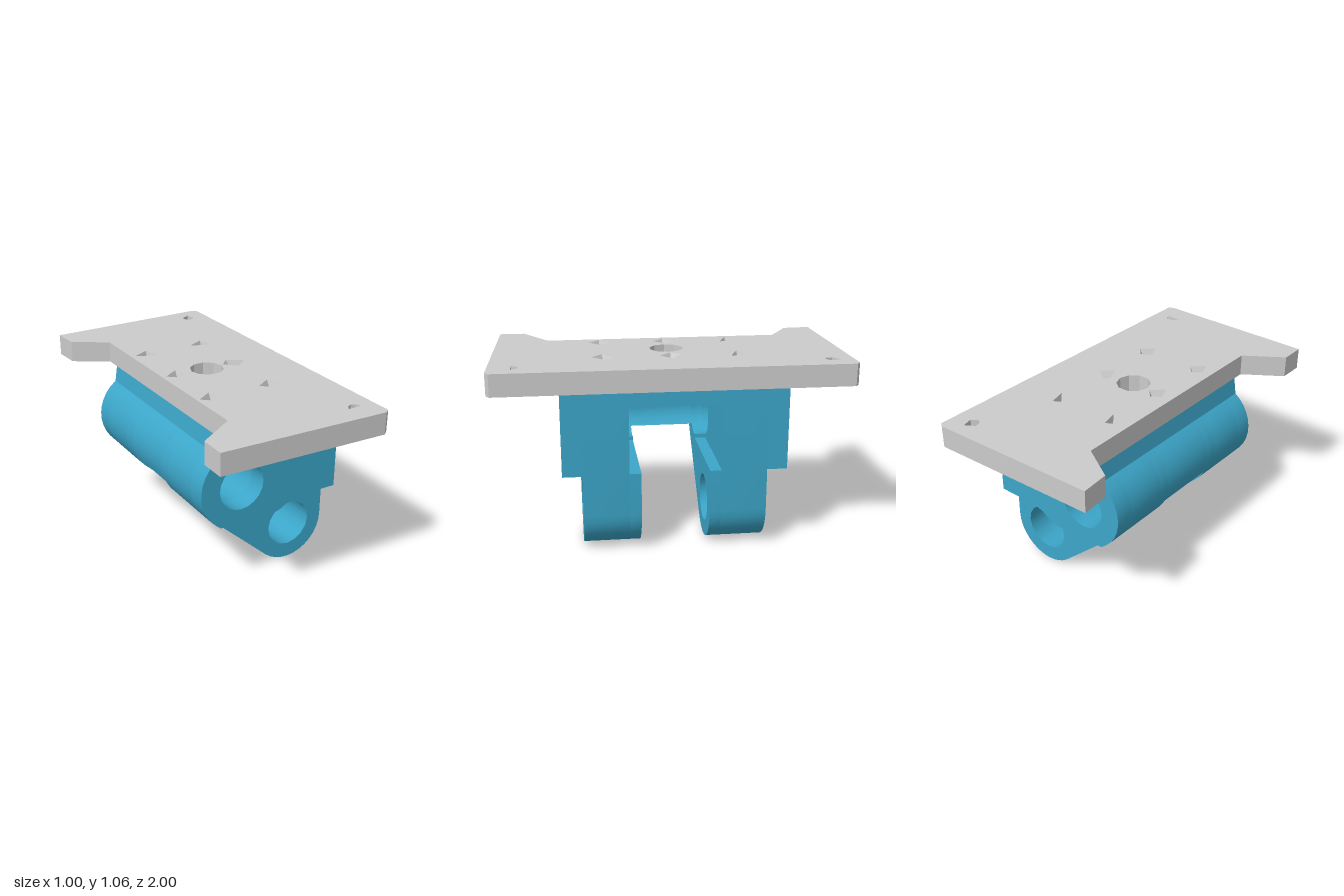
import * as THREE from 'three';
import { toCreasedNormals } from 'three/addons/utils/BufferGeometryUtils.js';

const blue = new THREE.MeshStandardMaterial({ color: 0x3ca6c9 });
const grey = new THREE.MeshStandardMaterial({ color: 0xcccccc });
const greyPit = new THREE.MeshStandardMaterial({ color: 0xcccccc, side: THREE.DoubleSide, flatShading: true });

const PIN = [-0.15, 0.625], LUG = [0.245, 0.228]; // bore centres (x, y)
const BORE = 0.137, TOP = 0.935, PLATE_TOP = 1.06;
const POCKET_X = -0.11, POCKET_TOP = 0.85, POCKET_Z = 0.255;

// Points on an arc, angles in degrees
function arc([cx, cy], r, a0, a1, n) {
  return Array.from({ length: n + 1 }, (_, i) => {
    const a = THREE.MathUtils.degToRad(a0 + (a1 - a0) * i / n);
    return [cx + r * Math.cos(a), cy + r * Math.sin(a)];
  });
}

function makeShape(points, holes = []) {
  const toVec = (list) => list.map(([x, y]) => new THREE.Vector2(x, y));
  const shape = new THREE.Shape(toVec(points));
  holes.forEach((h) => shape.holes.push(new THREE.Path(toVec(h))));
  return shape;
}

// Side profile extruded between two z values
function slice(name, shape, z0, z1) {
  const geo = new THREE.ExtrudeGeometry(shape, { depth: z1 - z0, bevelEnabled: false });
  geo.translate(0, 0, z0);
  const mesh = new THREE.Mesh(toCreasedNormals(geo, 0.6), blue);
  mesh.name = name;
  return mesh;
}

// Plan outline (x, z) extruded downward from yTop
function slab(name, shape, yTop, depth, material) {
  const geo = new THREE.ExtrudeGeometry(shape, { depth, bevelEnabled: false });
  geo.rotateX(Math.PI / 2).translate(0, yTop, 0);
  const mesh = new THREE.Mesh(toCreasedNormals(geo, 0.4), material);
  mesh.name = name;
  return mesh;
}

// Faceted recess: a fan from the rim down to an apex
function pit(rim, [ax, az]) {
  const pos = [];
  rim.forEach(([x, z], i) => {
    const [nx, nz] = rim[(i + 1) % rim.length];
    pos.push(x, PLATE_TOP, z, ax, PLATE_TOP - 0.09, az, nx, PLATE_TOP, nz);
  });
  const geo = new THREE.BufferGeometry();
  geo.setAttribute('position', new THREE.Float32BufferAttribute(pos, 3));
  geo.computeVertexNormals();
  const mesh = new THREE.Mesh(geo, greyPit);
  mesh.name = 'screwRecess';
  return mesh;
}

export function createModel() {
  const model = new THREE.Group();
  const body = new THREE.Group();
  body.name = 'hingeBody';
  const plate = new THREE.Group();
  plate.name = 'mountingPlate';
  model.add(body, plate);

  const pinBore = arc(PIN, BORE, 0, 342, 19);
  const lugBore = arc(LUG, BORE, 0, 337.5, 15);
  const neck = [[-0.275, TOP]];
  const barrel = arc(PIN, 0.25, 124.3, 228.3, 10);
  const lugEnd = arc(LUG, 0.225, 228.3, 360, 12);

  // Outer cheeks: upper part only, with the wavy lower edge
  const cheek = makeShape([
    ...neck, ...barrel, [-0.28, 0.407], [0.03, 0.397], [0.07, 0.405], [0.11, 0.417],
    [0.155, 0.447], [0.2, 0.46], [0.26, 0.466], [0.47, 0.466], [0.47, TOP],
  ], [pinBore]);
  // Full profile with both bores
  const full = makeShape([...neck, ...barrel, ...lugEnd, [0.47, TOP]], [pinBore, lugBore]);
  // Lug strip beside the pocket, which opens into the pin bore
  const beside = makeShape([
    ...neck, ...barrel, ...lugEnd, [0.47, 0.47], [POCKET_X, 0.47],
    ...arc(PIN, BORE, 287, 73, 12), [POCKET_X, TOP],
  ], [lugBore]);
  // Centre wall behind the pocket, cut off below by the gap between the lugs
  const centre = makeShape([
    ...neck, ...arc(PIN, 0.25, 124.3, 204.8, 8), ...arc(PIN, BORE, 230, 73, 9), [POCKET_X, TOP],
  ]);

  for (const s of [1, -1]) {
    const add = (name, shape, a, b) =>
      body.add(slice(name, shape, Math.min(s * a, s * b), Math.max(s * a, s * b)));
    add('outerCheek', cheek, 0.51, 0.622);
    add('lug', full, POCKET_Z, 0.51);
    add('lugInnerStrip', beside, 0.19, POCKET_Z);
  }
  body.add(slice('pocketBackWall', centre, -0.19, 0.19));

  // Roof over the pocket with the vertical centre bore
  const centreBore = arc([0, 0], 0.098, 0, 324, 9);
  body.add(slab('pocketRoof', makeShape([
    [POCKET_X, -POCKET_Z], [0.47, -POCKET_Z], [0.47, POCKET_Z], [POCKET_X, POCKET_Z],
  ], [centreBore]), TOP, TOP - POCKET_TOP, blue));

  // Recess rims around their own centres
  const kite = [[-0.07, 0.0], [0.02, -0.06], [0.07, -0.005], [0.0, 0.06]];
  const wedge = [[-0.065, 0.0], [0.03, -0.05], [0.055, 0.05], [-0.04, 0.015]];
  const recesses = [
    [wedge, -0.195, -0.39], [wedge, 0.18, -0.39],
    [kite, -0.19, -0.005], [kite.map(([x, z]) => [-x, z]), 0.185, -0.005],
    [kite, -0.195, 0.375], [kite, 0.18, 0.375],
  ].map(([rim, cx, cz]) => ({ rim: rim.map(([x, z]) => [x + cx, z + cz]), apex: [cx + 0.02, cz - 0.005] }));

  // Plate with a notch on the right, corner holes and recess openings
  const outline = [
    [-0.5, -0.975], [0.47, -1], [0.497, -0.98], [0.497, 0.98], [0.47, 1], [-0.5, 0.972],
    [-0.5, 0.825], [-0.28, 0.68], [-0.288, -0.692], [-0.488, -0.815],
  ];
  const cornerHoles = [
    [[0.335, -0.885], [0.39, -0.92], [0.405, -0.86], [0.37, -0.835], [0.345, -0.85]],
    [[0.33, 0.87], [0.35, 0.84], [0.375, 0.83], [0.4, 0.84], [0.415, 0.87]],
  ];
  plate.add(slab('plate', makeShape(outline,
    [centreBore, ...cornerHoles, ...recesses.map((r) => r.rim)]), PLATE_TOP, PLATE_TOP - TOP, grey));
  recesses.forEach((r) => plate.add(pit(r.rim, r.apex)));

  return model;
}
